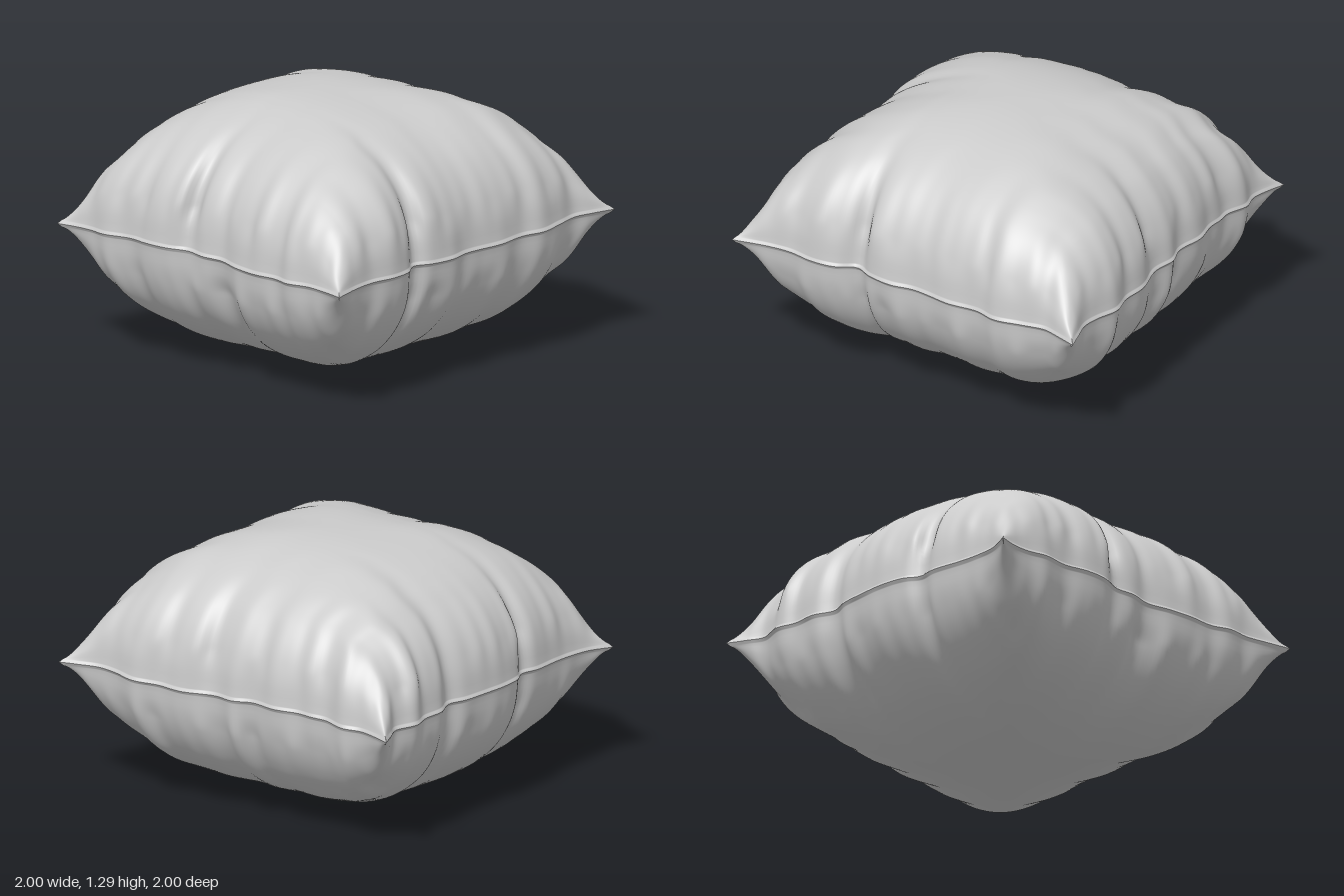
import * as THREE from 'three';

const CELLS = 160;      // grid cells along each side
const SEAM_Y = 0.642;   // height of the seam
const PUFF = 0.645;     // rise of each half above / below the seam
const LIP = 0.986;      // where the stitched ridge begins, as a fraction of the half width

// Scalloped plan outline, one [x, z] curve per side
const outline = (pts) => new THREE.CatmullRomCurve3(pts.map(([x, z]) => new THREE.Vector3(x, 0, z)));
const back = outline([[-0.95, -1], [-0.87, -0.97], [-0.76, -0.945], [-0.66, -0.965], [-0.54, -0.93], [-0.46, -0.935],
  [-0.38, -0.93], [-0.25, -0.95], [-0.1, -0.92], [0, -0.945], [0.12, -0.92], [0.3, -0.955], [0.44, -0.945],
  [0.57, -0.97], [0.7, -0.935], [0.8, -0.925], [0.9, -0.95], [1, -0.975]]);
const front = outline([[-1, 0.82], [-0.9, 0.805], [-0.8, 0.81], [-0.7, 0.835], [-0.55, 0.825], [-0.42, 0.855],
  [-0.3, 0.86], [-0.18, 0.83], [-0.08, 0.85], [0.03, 0.84], [0.15, 0.88], [0.28, 0.905], [0.42, 0.91],
  [0.52, 0.945], [0.64, 0.94], [0.76, 0.965], [0.89, 1]]);
const left = outline([[-0.95, -1], [-0.91, -0.9], [-0.88, -0.82], [-0.92, -0.7], [-0.9, -0.6], [-0.91, -0.48],
  [-0.875, -0.37], [-0.91, -0.28], [-0.93, -0.15], [-0.945, 0], [-0.935, 0.12], [-0.9, 0.2], [-0.92, 0.3],
  [-0.915, 0.48], [-0.92, 0.58], [-0.94, 0.7], [-1, 0.82]]);
const right = outline([[1, -0.975], [0.955, -0.86], [0.925, -0.77], [0.935, -0.65], [0.95, -0.5], [0.91, -0.38],
  [0.91, -0.22], [0.885, -0.1], [0.87, 0], [0.885, 0.12], [0.86, 0.25], [0.82, 0.34], [0.87, 0.44],
  [0.88, 0.56], [0.855, 0.7], [0.86, 0.82], [0.89, 1]]);

// Grid parameter, packed more tightly towards the seam
const spread = (i) => Math.sin((i / CELLS - 0.5) * Math.PI);
const samples = (curve) => Array.from({ length: CELLS + 1 }, (_, i) => curve.getPointAt((spread(i) + 1) / 2));

// Swell of the cushion: level lines turn from round to square (power p) towards
// the seam, and n shapes the cross-section; the underside is rounder in section
function swell(u, v, half) {
  const [n, p] = half > 0 ? [2.35, 4.5] : [2.15, 6];
  const inside = (t) => Math.max(0, 1 - Math.pow(Math.abs(t) / LIP, p));
  const radius = Math.pow(1 - inside(u) * inside(v), 1 / p);
  return Math.pow(1 - Math.pow(radius, n), 1 / n);
}

// Single deep creases: half (1 top, -1 bottom), side, place along side, width, depth, falloff
const creases = [
  [1, 'front', -0.15, 0.045, 0.045, 4], [1, 'front', -0.45, 0.04, 0.018, 7], [-1, 'front', 0.08, 0.07, 0.04, 5],
  [-1, 'front', -0.48, 0.05, 0.02, 7], [1, 'right', 0.31, 0.035, 0.04, 9], [-1, 'right', 0.31, 0.04, 0.04, 9],
  [-1, 'right', 0.2, 0.06, 0.02, 5], [1, 'right', -0.6, 0.04, 0.015, 7], [1, 'left', 0.35, 0.045, 0.035, 9],
  [-1, 'left', 0.35, 0.045, 0.035, 9], [1, 'left', -0.29, 0.045, 0.025, 9], [1, 'left', -0.72, 0.04, 0.02, 9],
  [1, 'back', 0.13, 0.05, 0.03, 5], [-1, 'back', -0.1, 0.05, 0.025, 6], [-1, 'back', 0.5, 0.05, 0.025, 6],
];

// Soft gathered folds running in from a side
const folds = (t, phase) => 0.008 * Math.sin(21 * t + phase) + 0.006 * Math.sin(34 * t + 2.3 * phase + 1)
  + 0.003 * Math.sin(55 * t - phase);

function foldDepth(u, v, half) {
  const sides = {
    left: [Math.max(0, -u), v, 1], right: [Math.max(0, u), v, 2.2],
    back: [Math.max(0, -v), u, 3.7], front: [Math.max(0, v), u, 5.1],
  };
  let d = 0;
  for (const [reach, along, phase] of Object.values(sides)) {
    d += Math.pow(reach, 6) * (1 - Math.pow(along, 6)) * folds(along, phase + half * 0.6);
  }
  for (const [h, side, at, width, depth, falloff] of creases) {
    if (h !== half) continue;
    const [reach, along] = sides[side];
    const k = (along - at) / width;
    d -= depth * Math.pow(reach, falloff) * (Math.exp(-k * k) - 0.3 * Math.exp(-((Math.abs(k) - 2) ** 2)));
  }
  // Folds fade out in the ridge, so both halves meet at the seam
  const edge = Math.max(Math.abs(u), Math.abs(v));
  return d * THREE.MathUtils.smoothstep(1 - edge, 0.002, 0.05);
}

// One half of the cover: a patch spanning the four outline curves, puffed up or down
function coverHalf(half, name) {
  const [B, F, L, R] = [back, front, left, right].map(samples);
  const row = CELLS + 1;
  const positions = [], index = [];
  for (let j = 0; j <= CELLS; j++) {
    for (let i = 0; i <= CELLS; i++) {
      const u = spread(i), v = spread(j), s = (u + 1) / 2, t = (v + 1) / 2;
      const plan = (k) => (1 - t) * B[i][k] + t * F[i][k] + (1 - s) * L[j][k] + s * R[j][k]
        - (1 - s) * (1 - t) * B[0][k] - s * (1 - t) * B[CELLS][k]
        - (1 - s) * t * F[0][k] - s * t * F[CELLS][k];
      const x = plan('x'), z = plan('z');
      const edge = Math.max(Math.abs(u), Math.abs(v));
      // Corners pinch into short horns
      const pinch = 1 - 0.45 * THREE.MathUtils.smoothstep(u * u * v * v, 0.5, 0.95);
      const ridge = 0.02 * Math.min(1, (1 - edge) / (1 - LIP));
      const rise = Math.hypot(PUFF * swell(u, v, half) * pinch, ridge);
      const seam = SEAM_Y - 0.008 * v + 0.008 * edge ** 8 * Math.sin(5 * u + 3 * v);
      positions.push(x, seam + half * rise, z);
      if (i < CELLS && j < CELLS) {
        const a = j * row + i, b = a + 1, c = a + row, d = c + 1;
        if (half > 0) index.push(a, c, b, b, c, d);
        else index.push(a, b, c, b, d, c);
      }
    }
  }
  const geometry = new THREE.BufferGeometry();
  geometry.setAttribute('position', new THREE.Float32BufferAttribute(positions, 3));
  geometry.setIndex(index);
  geometry.computeVertexNormals();

  // Press the folds in along the surface normals
  const p = geometry.attributes.position, n = geometry.attributes.normal;
  for (let q = 0; q < p.count; q++) {
    const d = foldDepth(spread(q % row), spread(Math.floor(q / row)), half);
    p.setXYZ(q, p.getX(q) + d * n.getX(q), p.getY(q) + d * n.getY(q), p.getZ(q) + d * n.getZ(q));
  }
  geometry.computeVertexNormals();

  const material = new THREE.MeshStandardMaterial({ color: 0xcccccc, side: THREE.DoubleSide });
  const mesh = new THREE.Mesh(geometry, material);
  mesh.name = name;
  return mesh;
}

export function createModel() {
  const cushion = new THREE.Group();
  cushion.name = 'cushion';
  cushion.add(coverHalf(1, 'topCover'), coverHalf(-1, 'bottomCover'));
  return cushion;
}
